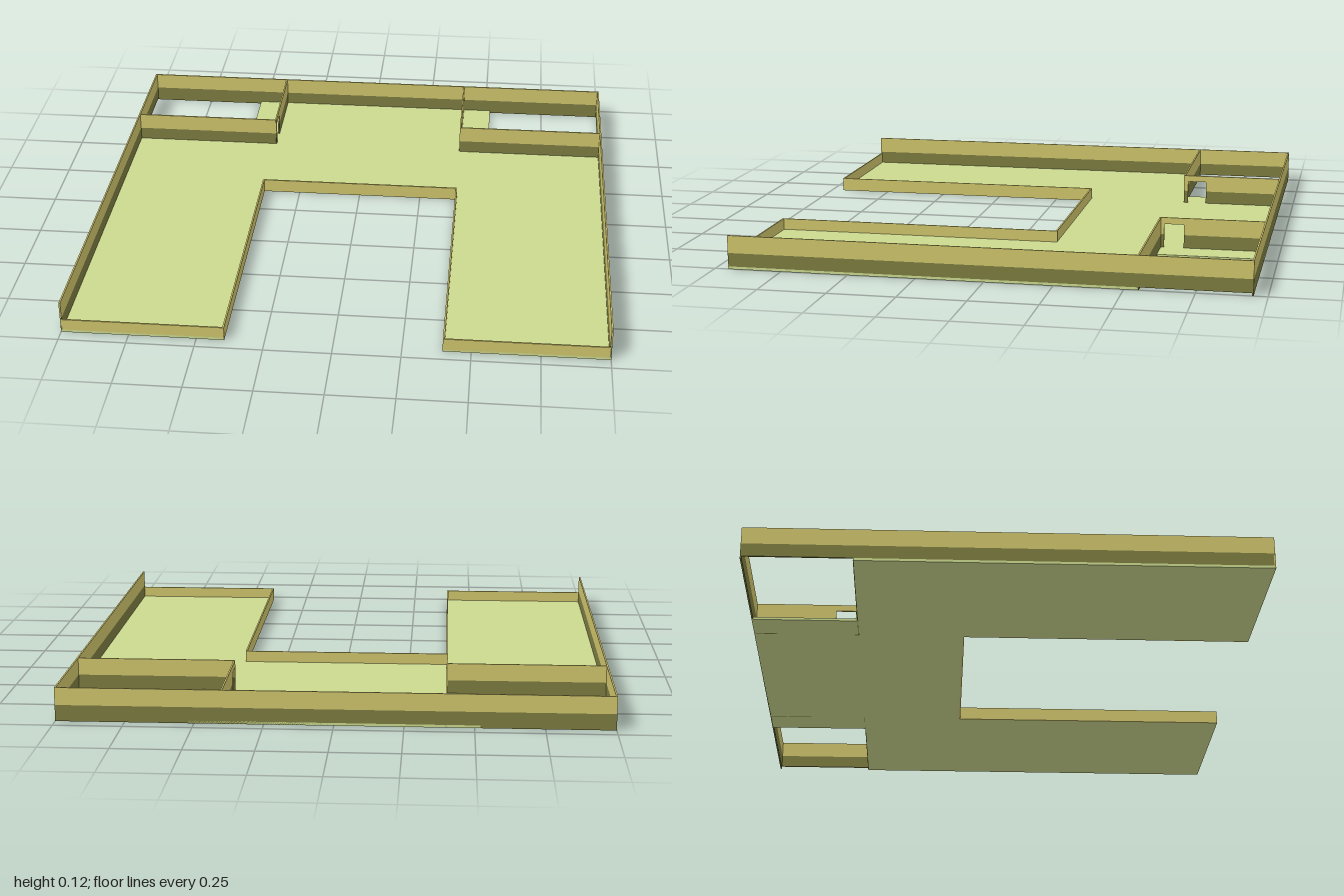
import * as THREE from 'three';

const T = 0.006;            // wall thickness
const SLAB = 0.01;          // floor thickness
const SPLIT = 0.06, TOP = 0.125, LOW = 0.053;
const X = 1, Z = 0.95, IN = 0.4, ROOM = -0.55, COURT = -0.15;

const floorMat = new THREE.MeshStandardMaterial({ color: 0xcbd98f });
const wallMat = new THREE.MeshStandardMaterial({ color: 0xcfc46c });
const baseMat = new THREE.MeshStandardMaterial({ color: 0x7c7c40 });

// Straight wall piece along x or z between two plan points
function strip(group, name, x0, z0, x1, z1, y0, y1, mat) {
  const geo = new THREE.BoxGeometry(Math.max(Math.abs(x1 - x0), T), y1 - y0, Math.max(Math.abs(z1 - z0), T));
  const mesh = new THREE.Mesh(geo, mat);
  mesh.position.set((x0 + x1) / 2, (y0 + y1) / 2, (z0 + z1) / 2);
  mesh.name = name;
  group.add(mesh);
}

// Tall wall: dark lower band and light upper band
function tallWall(group, name, x0, z0, x1, z1, y0 = 0) {
  strip(group, name + 'Base', x0, z0, x1, z1, y0, SPLIT, baseMat);
  strip(group, name + 'Upper', x0, z0, x1, z1, SPLIT, TOP, wallMat);
}

export function createModel() {
  const model = new THREE.Group();
  model.name = 'floorPlan';
  const h = T / 2, x = X - h, z = Z - h;

  // U-shaped floor with a wider strip at the back
  const half = [[IN, Z], [X, Z], [X, ROOM], [0.52, ROOM], [0.52, -Z]];
  const outline = [[IN, COURT], ...half, ...half.map(([a, b]) => [-a, b]).reverse(), [-IN, COURT]];
  const shape = new THREE.Shape(outline.map(([a, b]) => new THREE.Vector2(a, -b)));
  const floorGeo = new THREE.ExtrudeGeometry(shape, { depth: SLAB, bevelEnabled: false });
  floorGeo.rotateX(-Math.PI / 2);
  const floor = new THREE.Mesh(floorGeo, floorMat);
  floor.name = 'floor';
  model.add(floor);

  // Back wall and low courtyard wall
  tallWall(model, 'backWall', -X, -z, X, -z);
  strip(model, 'courtyardBackWall', -IN, COURT, IN, COURT, 0, LOW, wallMat);

  for (const s of [1, -1]) {
    const side = new THREE.Group();
    side.name = s > 0 ? 'leftWing' : 'rightWing';
    model.add(side);

    // Outer side wall and low walls round the wing
    tallWall(side, 'sideWall', s * x, -Z, s * x, Z, SLAB);
    strip(side, 'courtyardSideWall', s * IN, COURT, s * IN, Z, 0, LOW, wallMat);
    strip(side, 'wingEndWall', s * IN, z, s * X, z, 0, LOW, wallMat);

    // Corner room: front wall, then side wall with a doorway
    tallWall(side, 'roomFrontWall', s * IN, ROOM, s * X, ROOM);
    const d0 = -0.64, d1 = -0.565, doorTop = 0.1;
    tallWall(side, 'roomSideWall', s * IN, -Z, s * IN, d0);
    tallWall(side, 'doorPost', s * IN, d1, s * IN, ROOM);
    strip(side, 'doorLintel', s * IN, d0, s * IN, d1, doorTop, TOP, wallMat);
  }
  return model;
}
